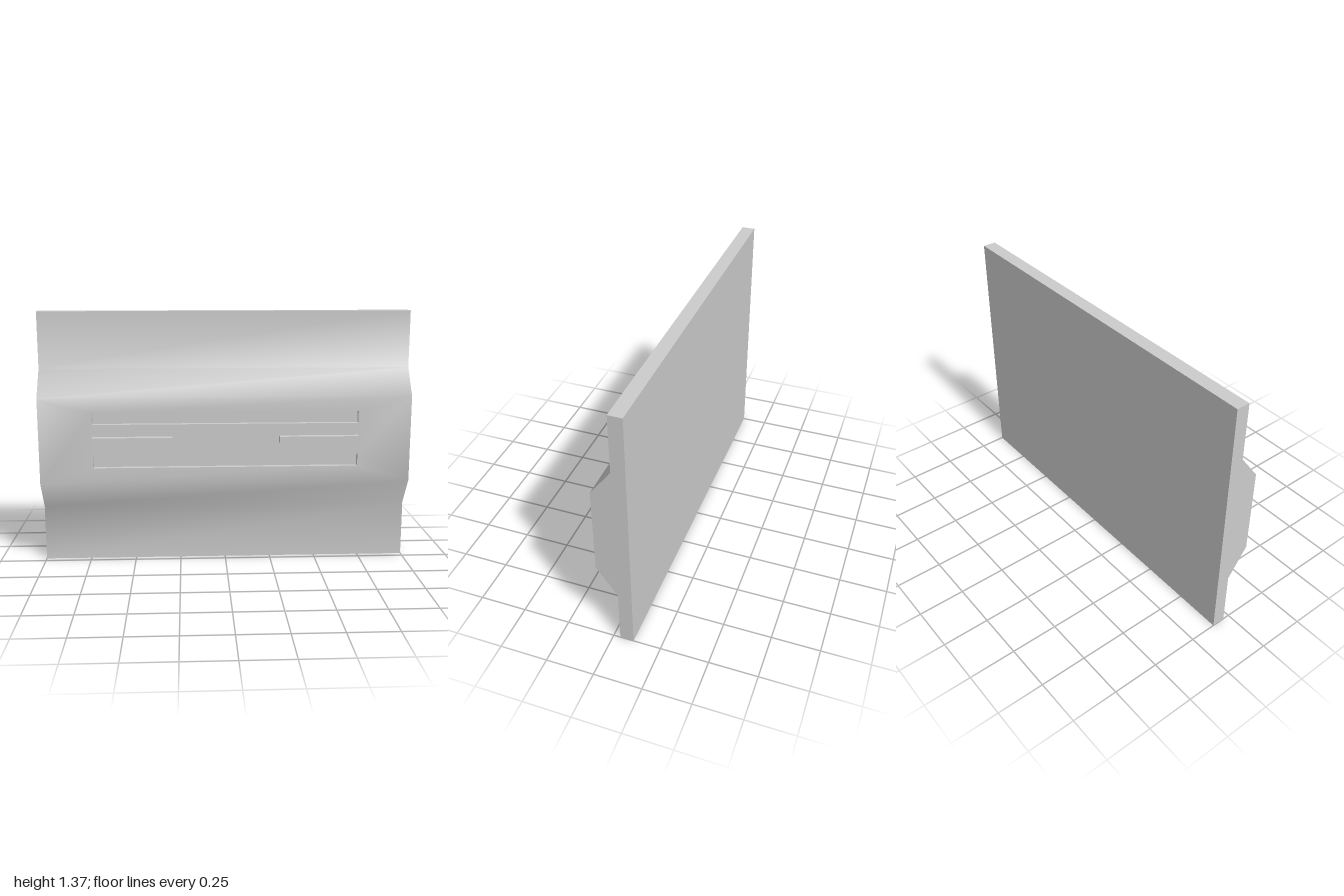
import * as THREE from 'three';
import { mergeGeometries, toCreasedNormals } from 'three/addons/utils/BufferGeometryUtils.js';

const FACE = 0.07, FLOOR = 0.04, BACK = -0.107, PLATE = -0.036;

// Position-only, non-indexed copy so that pieces can be merged
function bare(geometry) {
  const g = geometry.index ? geometry.toNonIndexed() : geometry;
  g.deleteAttribute('uv');
  g.deleteAttribute('normal');
  return g;
}

// Four corners, counter-clockwise from outside
function quad(a, b, c, d) {
  const g = new THREE.BufferGeometry();
  g.setAttribute('position', new THREE.Float32BufferAttribute([a, b, c, a, c, d].flat(), 3));
  return g;
}

const rectangle = (x, y0, y1) => [[-x, y0], [x, y0], [x, y1], [-x, y1]];
const toVectors = (points) => points.map(([x, y]) => new THREE.Vector2(x, y));

export function createModel() {
  const group = new THREE.Group();
  const material = new THREE.MeshStandardMaterial({ color: 0xcccccc });

  // Side profile as [z, y]; the raised face lies between points 3 and 4
  const profile = [
    [BACK, 0], [PLATE, 0], [PLATE, 0.303], [FACE, 0.457],
    [FACE, 0.923], [PLATE, 1.067], [PLATE, 1.373], [BACK, 1.373],
  ];
  const slots = [rectangle(0.714, 0.543, 0.61), rectangle(0.714, 0.78, 0.845)];
  const pieces = [];

  // Long surfaces of the panel
  profile.forEach(([z0, y0], i) => {
    if (i === 3) return;
    const [z1, y1] = profile[(i + 1) % profile.length];
    pieces.push(quad([-1, y0, z0], [1, y0, z0], [1, y1, z1], [-1, y1, z1]));
  });

  // End caps
  for (const side of [-1, 1]) {
    const shape = new THREE.Shape(toVectors(profile.map(([z, y]) => [-side * z, y])));
    const cap = new THREE.ShapeGeometry(shape);
    cap.rotateY(side * Math.PI / 2).translate(side, 0, 0);
    pieces.push(bare(cap));
  }

  // Raised face with two slot openings
  const face = new THREE.Shape(toVectors(rectangle(1, 0.457, 0.923)));
  face.holes = slots.map((slot) => new THREE.Path(toVectors(slot)));
  pieces.push(bare(new THREE.ShapeGeometry(face).translate(0, 0, FACE)));

  // Slot walls and floors
  for (const slot of slots) {
    slot.forEach((a, i) => {
      const b = slot[(i + 1) % 4];
      pieces.push(quad([...a, FACE], [...b, FACE], [...b, FLOOR], [...a, FLOOR]));
    });
    pieces.push(quad(...slot.map((p) => [...p, FLOOR])));
  }

  const panel = new THREE.Mesh(toCreasedNormals(mergeGeometries(pieces), 0.75), material);
  panel.name = 'panel';
  group.add(panel);

  // Two short raised bars between the slots
  for (const [name, side] of [['leftBar', 1], ['rightBar', -1]]) {
    const bar = new THREE.Mesh(new THREE.BoxGeometry(0.428, 0.033, 0.037), material);
    bar.position.set(side * 0.5, 0.698, 0.0885);
    bar.name = name;
    group.add(bar);
  }
  return group;
}
